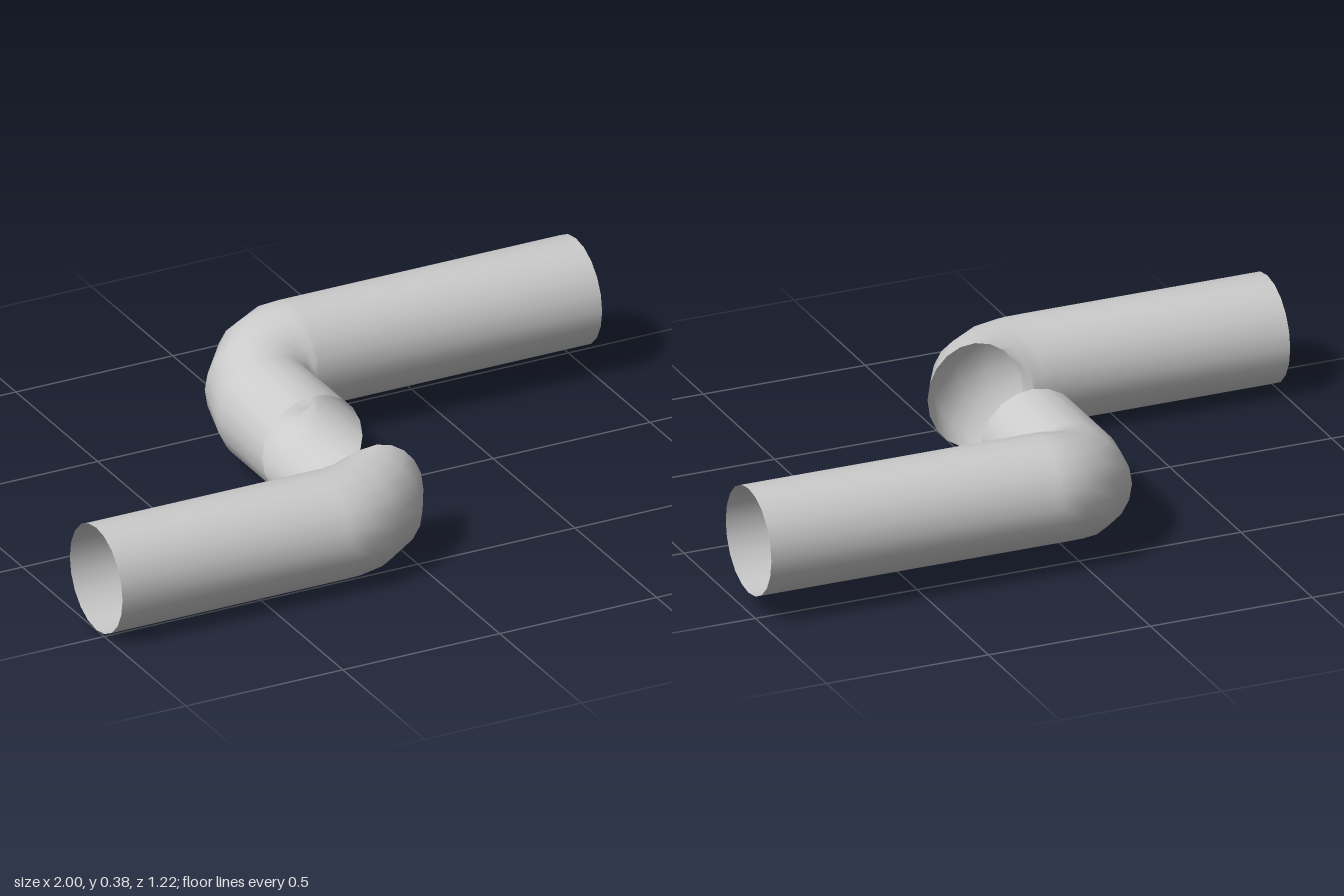
import * as THREE from 'three';

const SIDES = 20, RADIUS = 0.161;

// Open pipe through rings, each given as [outerX, outerZ, innerX, innerZ, centreY]
function pipe(name, rings, flip) {
  const positions = [], index = [];
  for (const [ox, oz, ix, iz, y] of rings) {
    for (let j = 0; j < SIDES; j++) {
      const a = (j / SIDES) * Math.PI * 2;
      const t = (1 + Math.cos(a)) / 2; // 1 on the outside of the bend, 0 on the inside
      positions.push(ix + (ox - ix) * t, y + RADIUS * Math.sin(a), iz + (oz - iz) * t);
    }
  }
  for (let i = 0; i < rings.length - 1; i++) {
    for (let j = 0; j < SIDES; j++) {
      const k = (j + 1) % SIDES;
      const a = i * SIDES + j, b = i * SIDES + k, c = a + SIDES, d = b + SIDES;
      if (flip) index.push(a, b, c, b, d, c);
      else index.push(a, c, b, b, c, d);
    }
  }
  const geometry = new THREE.BufferGeometry();
  geometry.setAttribute('position', new THREE.Float32BufferAttribute(positions, 3));
  geometry.setIndex(index);
  geometry.computeVertexNormals();
  const material = new THREE.MeshStandardMaterial({ color: 0xcccccc, side: THREE.DoubleSide });
  const mesh = new THREE.Mesh(geometry, material);
  mesh.name = name;
  return mesh;
}

export function createModel() {
  const model = new THREE.Group();
  model.name = 'bentPipes';

  // Front pipe: straight run that ends partway round its bend
  model.add(pipe('frontPipe', [
    [-1, 0.612, -1, 0.29, 0.162],
    [-0.27, 0.612, -0.27, 0.29, 0.162],
    [-0.2, 0.61, -0.24, 0.29, 0.162],
    [-0.1, 0.58, -0.22, 0.29, 0.162],
    [0.02, 0.49, -0.207, 0.293, 0.162],
    [0.085, 0.37, -0.19, 0.325, 0.162],
  ], false));

  // Back pipe: long run, rounded elbow dropping slightly, short leg towards the front
  model.add(pipe('backPipe', [
    [1, -0.613, 1, -0.293, 0.222],
    [0.1, -0.613, 0.1, -0.293, 0.222],
    [0.02, -0.608, 0.092, -0.293, 0.22],
    [-0.09, -0.56, 0.09, -0.293, 0.206],
    [-0.19, -0.44, 0.09, -0.293, 0.182],
    [-0.226, -0.3, 0.09, -0.29, 0.164],
    [-0.23, -0.27, 0.09, -0.27, 0.162],
    [-0.23, -0.012, 0.09, -0.012, 0.162],
  ], false));

  return model;
}
